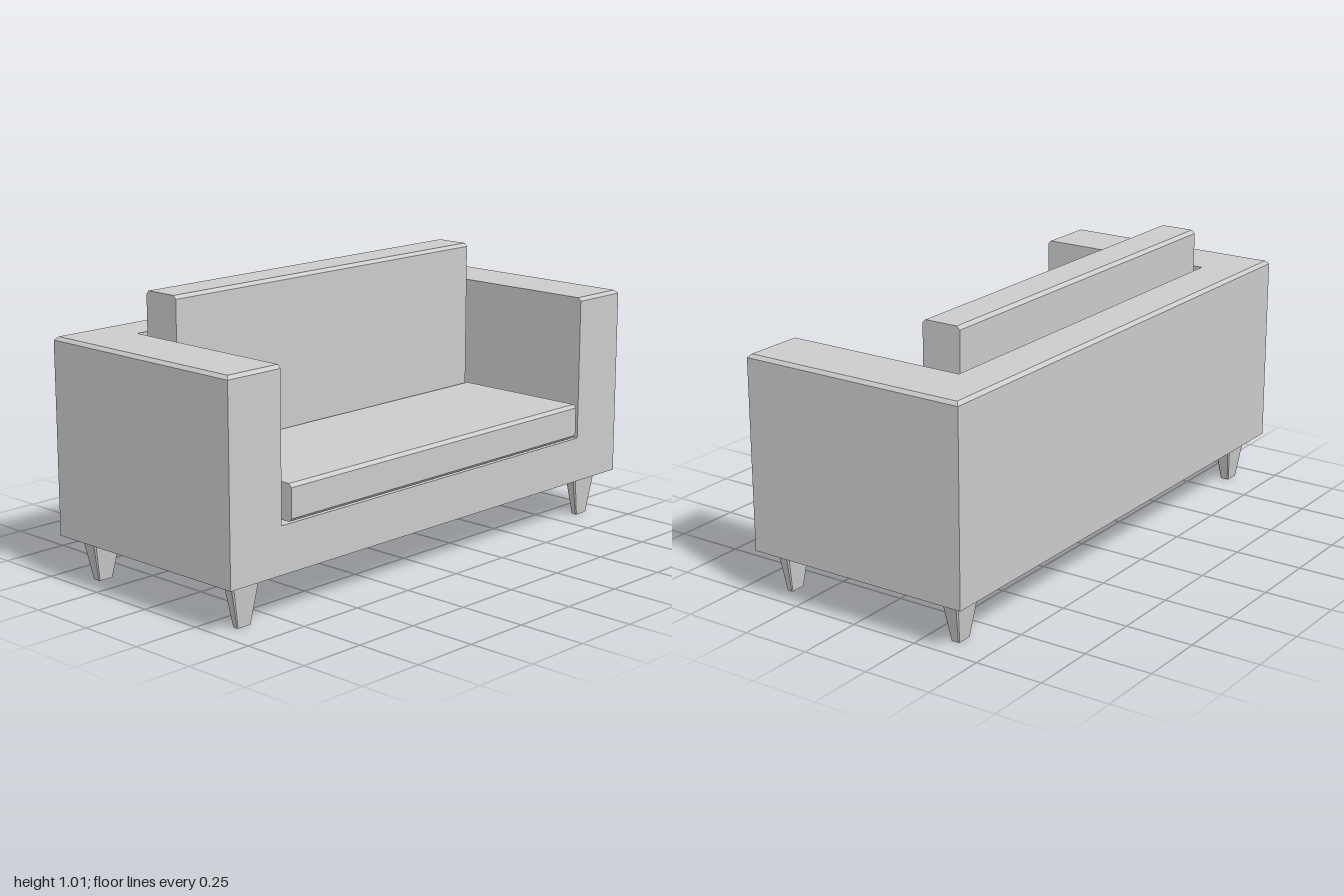
import * as THREE from 'three';

const material = new THREE.MeshStandardMaterial({ color: 0xcccccc, flatShading: true });

function addMesh(parent, name, geometry) {
  geometry.computeVertexNormals();
  const mesh = new THREE.Mesh(geometry, material);
  mesh.name = name;
  parent.add(mesh);
  return mesh;
}

const shapeOf = (points) => new THREE.Shape(points.map(([x, y]) => new THREE.Vector2(x, y)));

// Rectangle with its four corners cut off
function cutRectangle(x0, y0, x1, y1, c) {
  return shapeOf([
    [x0 + c, y0], [x1 - c, y0], [x1, y0 + c], [x1, y1 - c],
    [x1 - c, y1], [x0 + c, y1], [x0, y1 - c], [x0, y0 + c],
  ]);
}

// Extrudes a floor plan upwards from y = 0
function extrudeUp(shape, height, steps = 1) {
  const geometry = new THREE.ExtrudeGeometry(shape, { depth: height, steps, bevelEnabled: false });
  return geometry.rotateX(-Math.PI / 2);
}

export function createModel() {
  const sofa = new THREE.Group();
  sofa.name = 'sofa';

  const back = -0.438, front = 0.422, bottom = 0.162, floor = 0.33, top = 0.863;
  const wellBack = -0.274, wellSide = 0.772, chamfer = 0.012;

  // Base under the seat
  const base = addMesh(sofa, 'base', new THREE.BoxGeometry(front - back, floor - bottom, 2));
  base.position.set((front + back) / 2, (floor + bottom) / 2, 0);

  // Arms and backrest in one U, with the outer top edge chamfered
  const plan = shapeOf([
    [back, -1], [front, -1], [front, -wellSide], [wellBack, -wellSide],
    [wellBack, wellSide], [front, wellSide], [front, 1], [back, 1],
  ]);
  const height = top - floor;
  const frame = extrudeUp(plan, height, 2);
  const p = frame.attributes.position;
  for (let i = 0; i < p.count; i++) {
    const y = p.getY(i);
    if (y > height * 0.9) {
      p.setX(i, THREE.MathUtils.clamp(p.getX(i), back + chamfer, front - chamfer));
      p.setZ(i, THREE.MathUtils.clamp(p.getZ(i), -1 + chamfer, 1 - chamfer));
    } else if (y > height * 0.1) {
      p.setY(i, height - chamfer);
    }
  }
  addMesh(sofa, 'armsAndBackrest', frame).position.y = floor;

  // Cushions: chamfered profiles run along the sofa
  const cushions = [
    ['seatCushion', -0.108, 0.337, 0.436, 0.466],
    ['backCushion', -0.257, 0.337, -0.108, 1.01],
  ];
  for (const [name, x0, y0, x1, y1] of cushions) {
    const profile = cutRectangle(x0, y0, x1, y1, chamfer);
    const cushion = new THREE.ExtrudeGeometry(profile, { depth: 1.482, bevelEnabled: false });
    addMesh(sofa, name, cushion.translate(0, 0, -0.741));
  }

  // Tapered legs with cut corners, the back pair thicker
  const legs = [['frontLeg', 0.35, 0.048], ['backLeg', -0.354, 0.069]];
  for (const [name, x, width] of legs) {
    for (const side of [-1, 1]) {
      const leg = extrudeUp(cutRectangle(-width / 2, -0.064, width / 2, 0.064, 0.006), bottom);
      const q = leg.attributes.position;
      for (let i = 0; i < q.count; i++) {
        if (q.getY(i) < bottom / 2) {
          q.setX(i, q.getX(i) * 0.47);
          q.setZ(i, q.getZ(i) * 0.47);
        }
      }
      addMesh(sofa, name, leg).position.set(x, 0, side * 0.886);
    }
  }

  return sofa;
}
